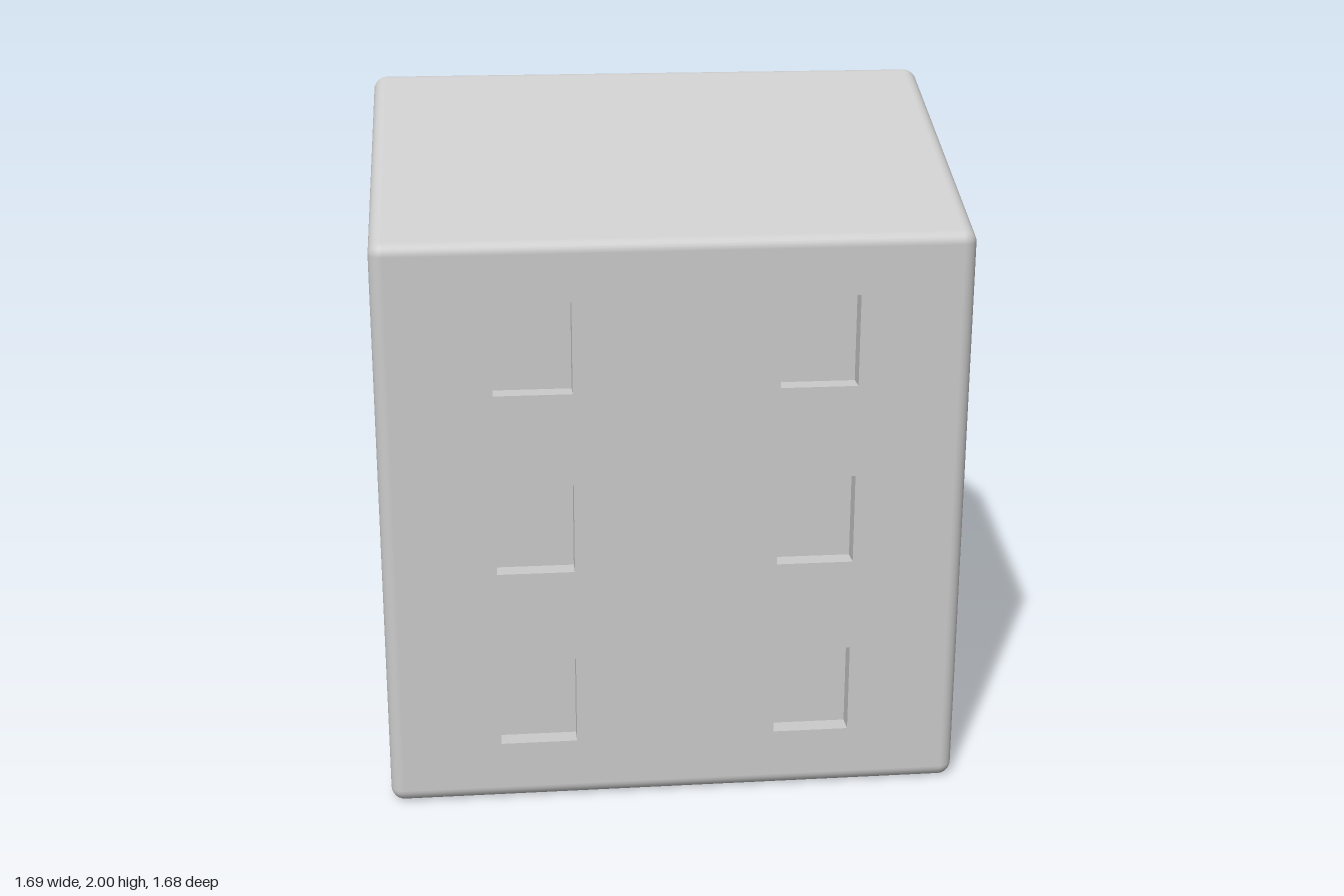
import * as THREE from 'three';

const R = 0.04;              // edge rounding
const HX = 0.835, HZ = 0.84; // half width and half depth of the body
const EAVE = 1.64, RIDGE = 1.96;
const STEPS = 6;
const mat = new THREE.MeshStandardMaterial({ color: 0xcccccc });

function add(parent, name, geometry) {
  const mesh = new THREE.Mesh(geometry, mat);
  mesh.name = name;
  parent.add(mesh);
  return mesh;
}

function rectPath(path, x0, y0, x1, y1) {
  path.moveTo(x0, y0);
  path.lineTo(x1, y0);
  path.lineTo(x1, y1);
  path.lineTo(x0, y1);
  path.closePath();
  return path;
}

// Roof slopes, base and all rounded edges; the four flat walls stay open
function shellGeometry() {
  const zi = HZ - R, half = Math.PI / 2;
  const slope = Math.atan2(zi, RIDGE - EAVE);
  const corners = [ // z, y, first and last normal angle
    [zi, R, -half, 0],
    [zi, EAVE, 0, slope],
    [0, RIDGE, slope, Math.PI - slope],
    [-zi, EAVE, Math.PI - slope, Math.PI],
    [-zi, R, Math.PI, Math.PI + half],
  ];
  const profile = [];
  for (const [z, y, t0, t1] of corners) {
    for (let k = 0; k <= STEPS; k++) profile.push([z, y, t0 + (t1 - t0) * k / STEPS]);
  }
  const loops = [];
  for (const side of [-1, 1]) {
    for (let k = 0; k <= STEPS; k++) {
      loops.push([side * (HX - R), half * (side < 0 ? k / STEPS - 1 : k / STEPS)]);
    }
  }
  const pos = [], nor = [], idx = [], n = profile.length;
  for (const [x, a] of loops) {
    for (const [z, y, t] of profile) {
      const nx = Math.sin(a), ny = Math.cos(a) * Math.sin(t), nz = Math.cos(a) * Math.cos(t);
      pos.push(x + R * nx, y + R * ny, z + R * nz);
      nor.push(nx, ny, nz);
    }
  }
  const frontWall = STEPS, backWall = 4 * (STEPS + 1) - 1;
  for (let i = 0; i < loops.length - 1; i++) {
    for (let j = 0; j < n; j++) {
      if (i === STEPS && (j === frontWall || j === backWall)) continue;
      const j2 = (j + 1) % n;
      const a = i * n + j, b = (i + 1) * n + j, c = (i + 1) * n + j2, d = i * n + j2;
      idx.push(a, b, c, a, c, d);
    }
  }
  const g = new THREE.BufferGeometry();
  g.setAttribute('position', new THREE.Float32BufferAttribute(pos, 3));
  g.setAttribute('normal', new THREE.Float32BufferAttribute(nor, 3));
  g.setIndex(idx);
  return g;
}

// Box turned inside out and open towards +z
function recessGeometry(w, h, d) {
  const g = new THREE.BoxGeometry(w, h, d);
  const idx = Array.from(g.index.array);
  idx.splice(24, 6);
  g.setIndex(idx.reverse());
  g.clearGroups();
  const normals = g.attributes.normal;
  for (let i = 0; i < normals.array.length; i++) normals.array[i] *= -1;
  return g.translate(0, 0, -d / 2);
}

// One flat wall facing its local +z, with two columns of three windows
function makeWall(name, outline, distance, turn, win) {
  const wall = new THREE.Group();
  wall.name = name;
  wall.rotation.y = turn;
  const shape = new THREE.Shape(outline.map(([x, y]) => new THREE.Vector2(x, y)));
  for (const x of [-0.4, 0.4]) {
    for (const y of [0.311, 0.843, 1.373]) {
      shape.holes.push(rectPath(new THREE.Path(),
        x - win.w / 2, y - win.h / 2, x + win.w / 2, y + win.h / 2));
      add(wall, 'windowRecess', recessGeometry(win.w, win.h, win.d)).position.set(x, y, distance);
    }
  }
  add(wall, 'wallPanel', new THREE.ShapeGeometry(shape)).position.z = distance;
  return wall;
}

// Raised frame around a slightly sunken door leaf, facing local +z
function makeDoor() {
  const door = new THREE.Group();
  door.name = 'door';
  const frame = rectPath(new THREE.Shape(), -0.112, 0.013, 0.112, 0.315);
  frame.holes.push(rectPath(new THREE.Path(), -0.085, 0.026, 0.085, 0.286));
  add(door, 'doorFrame', new THREE.ExtrudeGeometry(frame, { depth: 0.06, bevelEnabled: false }))
    .position.z = HX - 0.04;
  add(door, 'doorLeaf', new THREE.BoxGeometry(0.17, 0.26, 0.04))
    .position.set(0, 0.156, HX - 0.018);
  door.rotation.y = Math.PI / 2;
  return door;
}

export function createModel() {
  const model = new THREE.Group();
  model.name = 'house';
  const body = new THREE.Group();
  body.name = 'body';
  body.position.x = -0.01;
  model.add(body);

  add(body, 'roofAndEdges', shellGeometry());

  // Long walls under the eaves
  const xi = HX - R, zi = HZ - R;
  const eaveOutline = [[-xi, R], [xi, R], [xi, EAVE], [-xi, EAVE]];
  const eaveWindow = { w: 0.22, h: 0.262, d: 0.055 };
  body.add(makeWall('frontWall', eaveOutline, HZ, 0, eaveWindow));
  body.add(makeWall('backWall', eaveOutline, HZ, Math.PI, eaveWindow));

  // Gable walls
  const gableOutline = [[-zi, R], [zi, R], [zi, EAVE], [0, RIDGE], [-zi, EAVE]];
  const gableWindow = { w: 0.215, h: 0.237, d: 0.04 };
  body.add(makeWall('leftGable', gableOutline, HX, Math.PI / 2, gableWindow));
  body.add(makeWall('rightGable', gableOutline, HX, -Math.PI / 2, gableWindow));

  body.add(makeDoor());
  return model;
}
